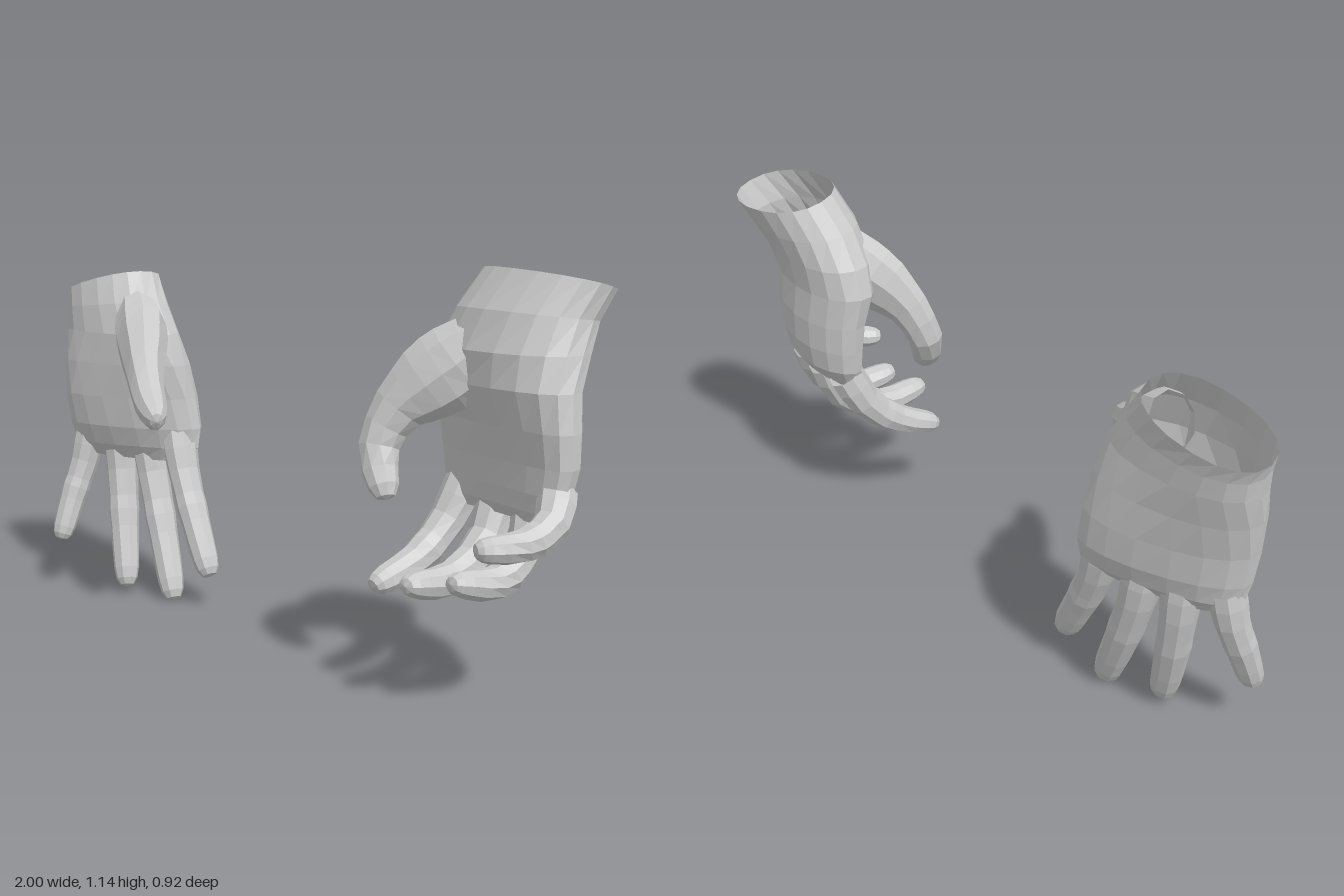
import * as THREE from 'three';

const skin = new THREE.MeshStandardMaterial({ color: 0xcccccc, flatShading: true, side: THREE.DoubleSide });
const V = (p) => new THREE.Vector3(...p);

// Skin a list of equal-sized rings; the last ring closes on the point "end"
function loft(name, rings, end) {
  const n = rings[0].length, pos = [], idx = [];
  rings.flat().forEach((p) => pos.push(p.x, p.y, p.z));
  pos.push(end.x, end.y, end.z);
  for (let i = 0; i < rings.length; i++) {
    for (let j = 0; j < n; j++) {
      const a = i * n + j, b = i * n + (j + 1) % n;
      if (i < rings.length - 1) idx.push(a, b, b + n, a, b + n, a + n);
      else idx.push(a, b, rings.length * n);
    }
  }
  const g = new THREE.BufferGeometry();
  g.setAttribute('position', new THREE.Float32BufferAttribute(pos, 3));
  g.setIndex(idx);
  g.computeVertexNormals();
  const mesh = new THREE.Mesh(g, skin);
  mesh.name = name;
  return mesh;
}

// Palm rows: x, y, z, half width, half depth, turn in degrees (+x edge towards +z when positive),
// forward bow of the edges, slopes of the row along x and z
function palm(rows) {
  const sides = 18;
  const soft = (v) => Math.sign(v) * Math.abs(v) ** 0.9;
  const rings = rows.map(([x, y, z, w, d, turn, bow = 0, sx = 0, sz = 0]) => {
    const c = Math.cos(turn * Math.PI / 180), s = Math.sin(turn * Math.PI / 180);
    return Array.from({ length: sides }, (_, j) => {
      const t = (j / sides) * Math.PI * 2;
      const u = soft(Math.cos(t)) * w, v = soft(Math.sin(t)) * d + bow * Math.cos(t) ** 2;
      const dx = u * c - v * s, dz = u * s + v * c;
      return new THREE.Vector3(x + dx, y + sx * dx + sz * dz, z + dz);
    });
  });
  const [x, y, z] = rows[rows.length - 1];
  return loft('palm', rings, new THREE.Vector3(x, y - 0.005, z));
}

// Digit: tube along a curve; each size is [position along curve, half width, half thickness]
function digit(name, points, sizes, side) {
  const curve = new THREE.CatmullRomCurve3(points.map(V));
  const sides = 9;
  const rings = sizes.map(([t, w, d]) => {
    const c = curve.getPoint(t), T = curve.getTangent(t);
    const a = V(side).addScaledVector(T, -V(side).dot(T)).normalize();
    const b = new THREE.Vector3().crossVectors(T, a);
    return Array.from({ length: sides }, (_, j) => {
      const q = (j / sides) * Math.PI * 2;
      return c.clone().addScaledVector(a, Math.cos(q) * w).addScaledVector(b, Math.sin(q) * d);
    });
  });
  return loft(name, rings, curve.getPoint(1));
}

// Finger sizes: wide knuckle, swelling at the joints, blunt tip
const fingerSizes = (r) => [
  [0, 1.15, 1.2], [0.15, 1.15, 1.22], [0.33, 1.06, 1.12], [0.5, 1, 1.03], [0.58, 1.04, 1.05],
  [0.68, 0.97, 0.95], [0.8, 0.94, 0.87], [0.9, 0.88, 0.78], [0.955, 0.75, 0.65], [0.988, 0.5, 0.42],
].map(([t, w, d]) => [t, w * r, d * r]);

// The thumb starts as a broad muscle near the wrist
const thumbSizes = [
  [0, 0.075, 0.06], [0.1, 0.097, 0.075], [0.2, 0.112, 0.085], [0.3, 0.114, 0.082], [0.4, 0.106, 0.074], [0.5, 0.09, 0.064],
  [0.6, 0.074, 0.056], [0.7, 0.062, 0.052], [0.8, 0.056, 0.05], [0.89, 0.05, 0.044], [0.95, 0.042, 0.035], [0.988, 0.026, 0.02],
];

function hand(name, { rows, fingers, thumb, thumbSide }) {
  const g = new THREE.Group();
  g.name = name;
  g.add(palm(rows));
  for (const [label, r, pts] of fingers) g.add(digit(label, pts, fingerSizes(r), [1, 0, 0]));
  g.add(digit('thumb', thumb, thumbSizes, thumbSide));
  return g;
}

export function createModel() {
  const model = new THREE.Group();
  model.name = 'pairOfHands';

  // Open hand with straight, spread fingers; the ball of the thumb swings forward
  model.add(hand('rightHand', {
    rows: [
      [-0.823, 1.02, -0.34, 0.18, 0.112, 10, 0, 0.22, 0.18],
      [-0.787, 0.95, -0.313, 0.205, 0.118, 15, 0, 0.08, 0.08],
      [-0.755, 0.87, -0.295, 0.232, 0.123, 15],
      [-0.735, 0.77, -0.287, 0.24, 0.12, 5],
      [-0.72, 0.66, -0.286, 0.243, 0.106, -3],
      [-0.705, 0.56, -0.287, 0.243, 0.09, -4],
      [-0.7, 0.495, -0.287, 0.232, 0.066, -3],
      [-0.69, 0.45, -0.282, 0.19, 0.034, 0],
    ],
    fingers: [
      ['littleFinger', 0.044, [[-0.882, 0.53, -0.28], [-0.9, 0.42, -0.263], [-0.922, 0.3, -0.22], [-0.937, 0.16, -0.165]]],
      ['ringFinger', 0.049, [[-0.772, 0.53, -0.295], [-0.76, 0.4, -0.285], [-0.73, 0.22, -0.247], [-0.685, 0.022, -0.19]]],
      ['middleFinger', 0.05, [[-0.665, 0.53, -0.3], [-0.64, 0.4, -0.29], [-0.58, 0.21, -0.252], [-0.5, 0, -0.19]]],
      ['indexFinger', 0.049, [[-0.54, 0.55, -0.29], [-0.505, 0.42, -0.268], [-0.44, 0.27, -0.23], [-0.355, 0.1, -0.18]]],
    ],
    thumb: [[-0.7, 0.955, -0.28], [-0.62, 0.88, -0.2], [-0.55, 0.81, -0.11], [-0.485, 0.747, -0.02], [-0.42, 0.695, 0.055], [-0.335, 0.655, 0.148]],
    thumbSide: [0, 1, 0],
  }));

  // Relaxed hand turned inwards, fingers curling forward
  model.add(hand('leftHand', {
    rows: [
      [0.82, 1.11, 0.07, 0.18, 0.12, 12, 0, -0.12, 0.2],
      [0.77, 1.02, 0.095, 0.2, 0.128, 16, 0, -0.06, 0.1],
      [0.74, 0.93, 0.115, 0.232, 0.126, 22],
      [0.735, 0.84, 0.12, 0.25, 0.113, 27, 0.02],
      [0.757, 0.74, 0.11, 0.25, 0.098, 30, 0.035],
      [0.765, 0.65, 0.105, 0.245, 0.088, 30, 0.04],
      [0.762, 0.58, 0.108, 0.235, 0.078, 31, 0.04],
      [0.755, 0.53, 0.12, 0.212, 0.056, 31, 0.035],
      [0.75, 0.5, 0.128, 0.172, 0.03, 31, 0.03],
    ],
    fingers: [
      ['littleFinger', 0.044, [[0.91, 0.585, 0.225], [0.918, 0.52, 0.29], [0.878, 0.478, 0.365], [0.775, 0.468, 0.45]]],
      ['ringFinger', 0.047, [[0.815, 0.56, 0.125], [0.82, 0.435, 0.185], [0.78, 0.353, 0.285], [0.705, 0.37, 0.425]]],
      ['middleFinger', 0.048, [[0.7, 0.56, 0.065], [0.69, 0.425, 0.125], [0.645, 0.338, 0.255], [0.585, 0.35, 0.43]]],
      ['indexFinger', 0.048, [[0.595, 0.56, 0.035], [0.562, 0.45, 0.085], [0.515, 0.357, 0.18], [0.44, 0.297, 0.31]]],
    ],
    thumb: [[0.69, 0.97, 0.12], [0.605, 0.89, 0.14], [0.53, 0.83, 0.17], [0.46, 0.765, 0.195], [0.417, 0.66, 0.225], [0.465, 0.53, 0.28]],
    thumbSide: [1, -0.8, 0],
  }));
  return model;
}
